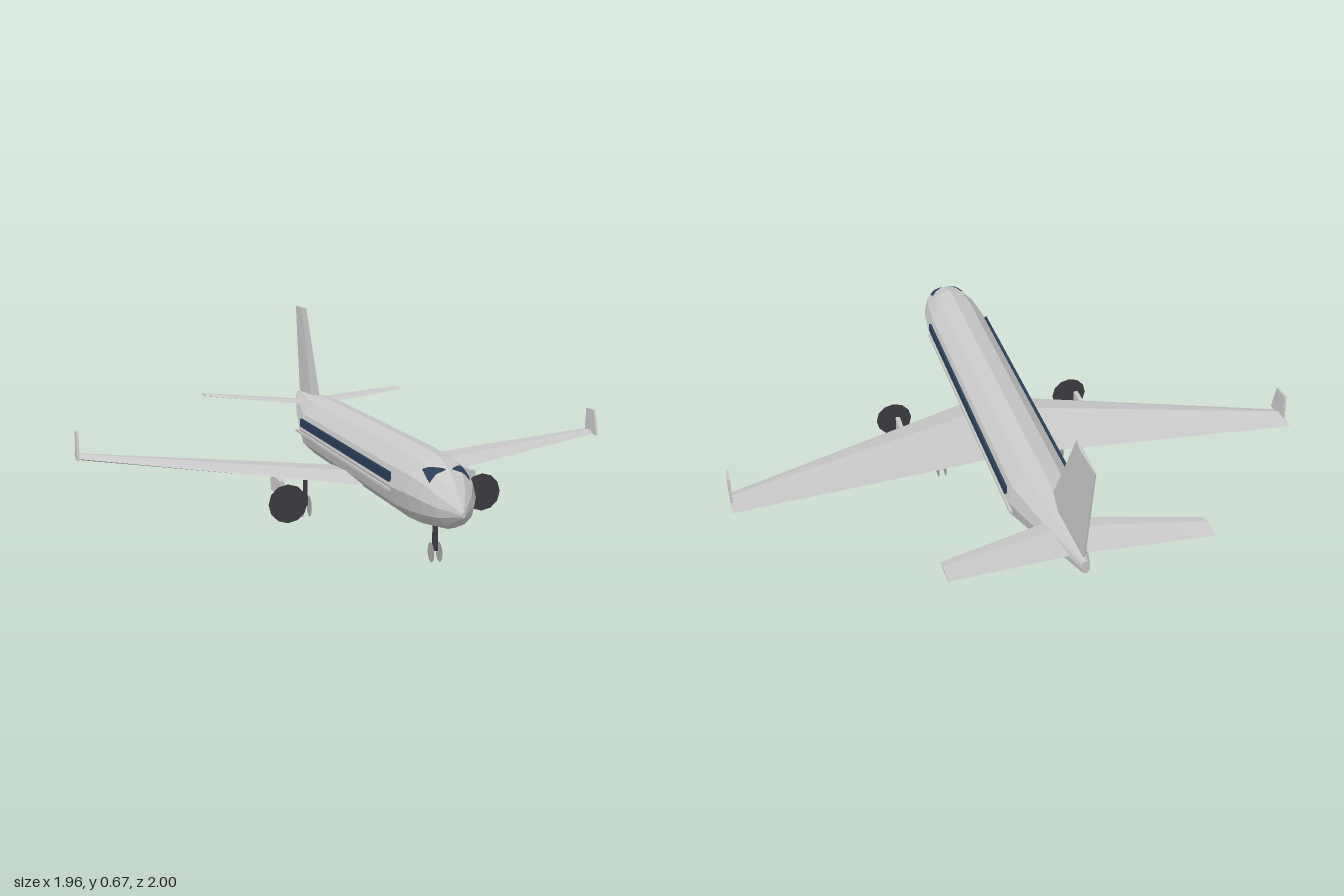
import * as THREE from 'three';

const mat = (name, color, extra = {}) => new THREE.MeshStandardMaterial({ name, color, ...extra });

// Faceted solid through equal-length rings of [x, y, z], with closed ends
function loft(rings) {
  const tris = [], n = rings[0].length;
  for (let r = 0; r < rings.length - 1; r++) {
    const a = rings[r], b = rings[r + 1];
    for (let i = 0; i < n; i++) {
      const j = (i + 1) % n;
      tris.push([a[i], a[j], b[j]], [a[i], b[j], b[i]]);
    }
  }
  const first = rings[0], last = rings[rings.length - 1];
  for (let i = 1; i < n - 1; i++) {
    tris.push([first[0], first[i + 1], first[i]], [last[0], last[i], last[i + 1]]);
  }
  // Turn the solid outward if its signed volume is negative
  const v = p => new THREE.Vector3(...p);
  const volume = tris.reduce((s, [a, b, c]) => s + v(a).dot(v(b).cross(v(c))), 0);
  if (volume < 0) tris.forEach(t => t.reverse());
  const g = new THREE.BufferGeometry();
  g.setAttribute('position', new THREE.Float32BufferAttribute(tris.flat(2), 3));
  g.computeVertexNormals();
  return g;
}

// Fuselage stations: z, top, bottom, half width
const STATIONS = [
  [-0.95, 0.318, 0.27, 0.014], [-0.72, 0.331, 0.193, 0.07], [-0.49, 0.34, 0.116, 0.114],
  [0.68, 0.34, 0.116, 0.114], [0.79, 0.336, 0.122, 0.104], [0.87, 0.315, 0.133, 0.087],
  [0.93, 0.276, 0.15, 0.06], [1.0, 0.21, 0.192, 0.006],
];
const SIDES = 12;

// Point on the fuselage at z; angle is in degrees away from the top, towards +x
function skin(z, degrees, lift = 0) {
  let k = 0;
  while (k < STATIONS.length - 2 && z > STATIONS[k + 1][0]) k++;
  const a = STATIONS[k], b = STATIONS[k + 1], t = (z - a[0]) / (b[0] - a[0]);
  const [top, bottom, w] = [1, 2, 3].map(i => a[i] + (b[i] - a[i]) * t);
  const step = Math.PI * 2 / SIDES, angle = THREE.MathUtils.degToRad(degrees);
  const i = Math.floor(angle / step + 1e-6), f = angle / step - i;
  const s = Math.sin(i * step) * (1 - f) + Math.sin((i + 1) * step) * f;
  const c = Math.cos(i * step) * (1 - f) + Math.cos((i + 1) * step) * f;
  return [s * (w + lift), (top + bottom) / 2 + c * ((top - bottom) / 2 + lift), z];
}

// Wing-like section with a ridge at 31% of the chord
const airfoil = (x, y, front, back, thick) => {
  const ridge = front + (back - front) * 0.31;
  return [[x, y + thick * 0.4, front], [x, y + thick, ridge],
    [x, y + thick * 0.45, back], [x, y, ridge]];
};

// Upright section, for the tail fin
const finSection = (y, front, back, half) => {
  const mid = front + (back - front) * 0.3;
  return [[0, y, front], [half, y, mid], [half * 0.3, y, back], [-half * 0.3, y, back], [-half, y, mid]];
};

export function createModel() {
  const plane = new THREE.Group();
  plane.name = 'airliner';
  const body = mat('body grey', 0xc8c8c8);
  const glass = mat('window blue', 0x2a3f58, { side: THREE.DoubleSide });
  const dark = mat('dark metal', 0x3c3c42, { side: THREE.DoubleSide });
  const wheelGrey = mat('wheel grey', 0xa6a6a6, { side: THREE.DoubleSide });

  const add = (name, geometry, material, x = 0, y = 0, z = 0) => {
    const mesh = new THREE.Mesh(geometry, material);
    mesh.name = name;
    mesh.position.set(x, y, z);
    plane.add(mesh);
    return mesh;
  };
  const box = (w, h, d) => new THREE.BoxGeometry(w, h, d);

  // Wheel pair on a strut
  const gear = (name, x, z, radius, y, strutTop) => {
    add(name + 'Strut', box(0.013, strutTop - 0.042, 0.015), dark, x, (strutTop + 0.042) / 2, z);
    for (const side of [-1, 1]) {
      add(name + 'Wheel', new THREE.CircleGeometry(radius, 12), wheelGrey, x + side * 0.013, y, z)
        .rotation.y = side * Math.PI / 2;
    }
  };

  // Fuselage and tail fin
  add('fuselage', loft(STATIONS.map(([z]) =>
    Array.from({ length: SIDES }, (_, i) => skin(z, i * 360 / SIDES)))), body);
  add('tailFin', loft([finSection(0.31, -0.605, -0.93, 0.013),
    finSection(0.665, -0.825, -1.0, 0.006)]), body);
  gear('nose', 0, 0.76, 0.031, 0.037, 0.13);

  for (const s of [1, -1]) {
    const side = s > 0 ? 'left' : 'right';

    // Wing, winglet and tailplane
    add(side + 'Wing', loft([airfoil(0, 0.123, 0.287, -0.12, 0.048),
      airfoil(s * 0.98, 0.199, -0.18, -0.295, 0.022)]), body);
    const x0 = s * 0.972, x1 = s * 0.98;
    add(side + 'Winglet', loft([x0, x1].map(x => [[x, 0.205, -0.15], [x, 0.3, -0.178],
      [x, 0.3, -0.24], [x, 0.205, -0.25]])), body);
    add(side + 'Tailplane', loft([airfoil(0, 0.282, -0.69, -0.88, 0.016),
      airfoil(s * 0.415, 0.315, -0.845, -0.94, 0.01)]), body);

    // Cabin window band and trim line
    add(side + 'CabinWindows', box(0.009, 0.03, 1.125), glass, s * 0.1125, 0.255, 0.0975);
    add(side + 'TrimLine', box(0.01, 0.009, 1.2), body, s * 0.113, 0.216, 0.065);

    // Cockpit window, a thin patch following the nose
    const pane = new THREE.PlaneGeometry(1, 1, 6, 6), p = pane.attributes.position;
    const mix = THREE.MathUtils.lerp;
    for (let i = 0; i < p.count; i++) {
      const u = p.getX(i) + 0.5, v = p.getY(i) + 0.5;
      const z = mix(mix(0.878, 0.885, u), mix(0.855, 0.82, u), v);
      const [x, y] = skin(z, mix(mix(6, 50, u), mix(18, 40, u), v), 0.004);
      p.setXYZ(i, s * x, y, z);
    }
    if (s > 0) pane.index.array.reverse();
    const flat = pane.toNonIndexed();
    flat.computeVertexNormals();
    add(side + 'CockpitWindow', flat, glass);

    // Engine face, pylon and main landing gear
    add(side + 'EngineFace', new THREE.CircleGeometry(0.065, 12), dark, s * 0.34, 0.105, 0.275);
    add(side + 'EnginePylon', box(0.015, 0.055, 0.145), body, s * 0.34, 0.137, 0.122);
    gear(side + 'Main', s * 0.22, 0.028, 0.038, 0.038, 0.155);
  }
  return plane;
}
